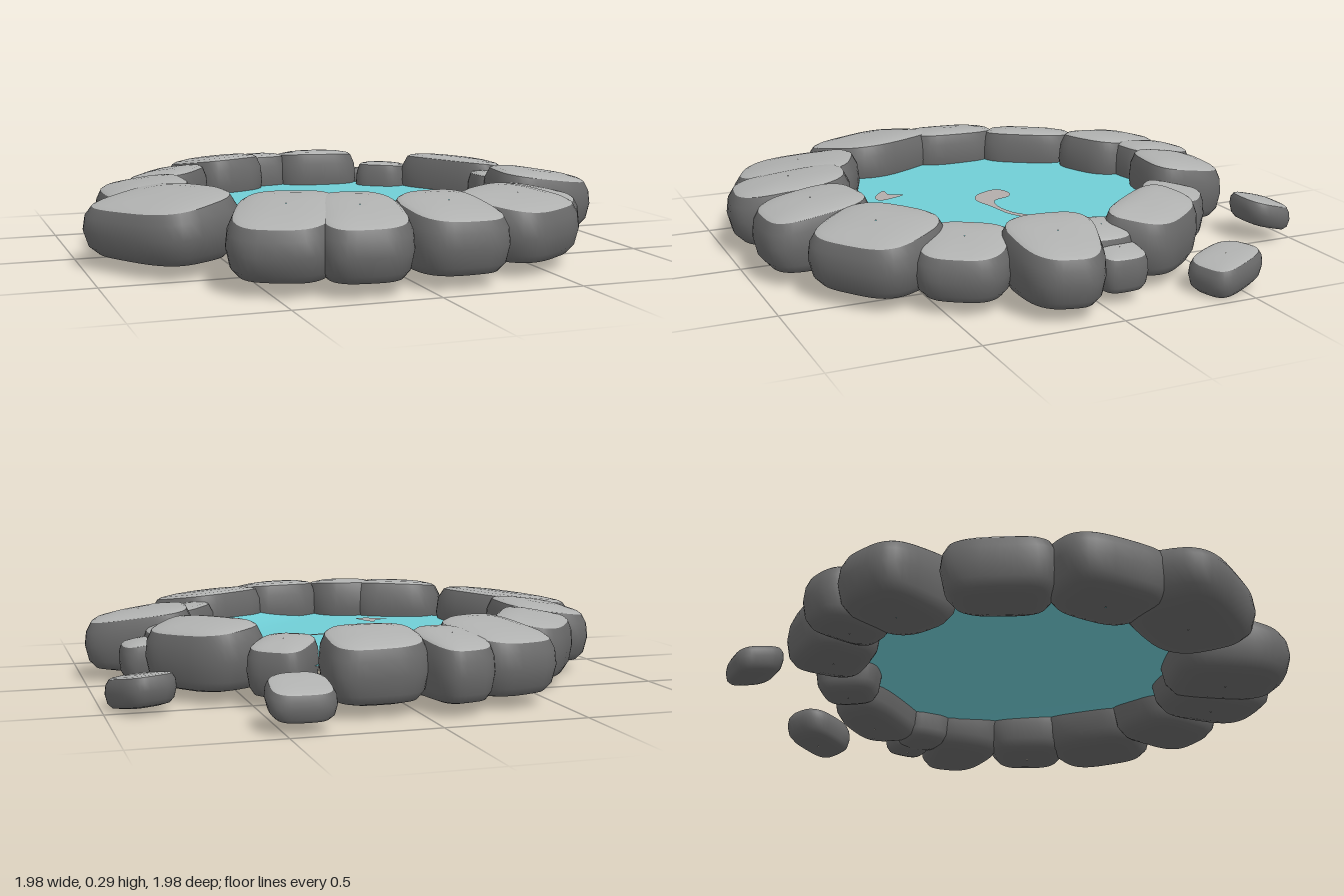
import * as THREE from 'three';

const mat = (name, color, side = THREE.FrontSide) => {
  const m = new THREE.MeshStandardMaterial({ color, side });
  m.name = name;
  return m;
};

// Skin a stack of rings, each an array of [x, y, z]
function loft(rings) {
  const n = rings[0].length, index = [];
  for (let r = 0; r < rings.length - 1; r++) {
    for (let i = 0; i < n; i++) {
      const a = r * n + i, b = r * n + (i + 1) % n;
      index.push(a, b, a + n, b, b + n, a + n);
    }
  }
  const geo = new THREE.BufferGeometry();
  geo.setAttribute('position', new THREE.Float32BufferAttribute(rings.flat(2), 3));
  geo.setIndex(index);
  geo.computeVertexNormals();
  return geo;
}

// Stone profiles: [outline scale, height fraction]
const SIDE = [[0.01, 0], [0.55, 0.01], [0.8, 0.06], [0.93, 0.2], [1, 0.5], [0.97, 0.75], [0.88, 0.91]];
const TOP = [[0.88, 0.91], [0.8, 0.95], [0.55, 0.985], [0.28, 1], [0.01, 1]];

// Rim stones: x, z, facing in degrees, half depth, half width, top, outward taper
const RIM = [
  [-0.31, -0.66, -110, 0.2, 0.165, 0.28, 0],
  [-0.12, -0.75, -100, 0.16, 0.115, 0.27, 0],
  [0.14, -0.7, -88, 0.155, 0.175, 0.28, 0],
  [0.4, -0.53, -53, 0.12, 0.11, 0.24, 0],
  [0.64, -0.31, -37, 0.13, 0.22, 0.28, -0.1],
  [0.7, -0.07, 0, 0.1, 0.1, 0.24, 0],
  [0.81, -0.08, 0, 0.08, 0.09, 0.19, 0],
  [0.79, 0.14, 10, 0.2, 0.16, 0.27, -0.25],
  [0.63, 0.4, 33, 0.16, 0.165, 0.24, 0],
  [0.44, 0.64, 55, 0.19, 0.22, 0.27, -0.1],
  [0.12, 0.77, 85, 0.2, 0.17, 0.28, 0],
  [-0.19, 0.76, 100, 0.23, 0.16, 0.28, 0],
  [-0.41, 0.66, 115, 0.24, 0.19, 0.28, 0],
  [-0.73, 0.25, 150, 0.21, 0.27, 0.27, 0],
  [-0.73, -0.09, 180, 0.17, 0.21, 0.27, 0],
  [-0.57, -0.4, -147, 0.14, 0.2, 0.27, 0],
];

export function createModel() {
  const model = new THREE.Group();
  model.name = 'stonePond';
  const stoneSide = mat('darkStone', 0x6a6a6a);
  const stoneTop = mat('lightStone', 0xb0b1b0);
  const waterBlue = mat('waterBlue', 0x70ced6, THREE.DoubleSide);
  const reflection = mat('paleReflection', 0xb3adab);

  // Rounded block outline lofted into a dark body and a light domed cap
  const addStone = (name, [x, z, deg, depth, width, top, taper], base, slope, leanBase) => {
    const turn = THREE.MathUtils.degToRad(deg), c = Math.cos(turn), s = Math.sin(turn);
    const soft = (v) => Math.sign(v) * Math.abs(v) ** 0.64;
    const pts = Array.from({ length: 36 }, (_, i) => {
      const t = -i / 36 * Math.PI * 2;
      const wobble = 1 + 0.025 * Math.sin(3 * t + deg);
      const u = soft(Math.cos(t)) * wobble, v = soft(Math.sin(t)) * wobble;
      const w = v * width * (1 + taper * u);
      return [u * depth * c - w * s, u * depth * s + w * c];
    });
    const rings = (profile) => profile.map(([k, f]) => pts.map(([dx, dz]) => [
      x + dx * k,
      base + f * (top - base) + (leanBase ? 1 : f) * k * (slope[0] * dx + slope[1] * dz),
      z + dz * k,
    ]));
    const stone = new THREE.Group();
    stone.name = name;
    const body = new THREE.Mesh(loft(rings(SIDE)), stoneSide);
    body.name = 'stoneBody';
    const cap = new THREE.Mesh(loft(rings(TOP)), stoneTop);
    cap.name = 'stoneTop';
    stone.add(body, cap);
    model.add(stone);
  };

  // Rim stones slope gently down, away from the water
  RIM.forEach((row, i) => {
    const r = Math.hypot(row[0], row[1]);
    addStone(`rimStone${i + 1}`, row, 0.045, [-0.15 * row[0] / r, -0.15 * row[1] / r], false);
  });

  // Two loose stones outside the ring, tilted as a whole
  addStone('backLooseStone', [0.44, -0.9, -90, 0.095, 0.11, 0.165, 0], 0.06, [0, 0.25], true);
  addStone('sideLooseStone', [0.87, -0.46, -20, 0.1, 0.125, 0.135, 0], 0.02, [-0.08, -0.15], true);

  // Water sheet, lifted a little at its front left edge
  const level = 0.15;
  const waterGeo = new THREE.RingGeometry(0.001, 0.66, 64, 8).rotateX(-Math.PI / 2);
  const pos = waterGeo.attributes.position;
  for (let i = 0; i < pos.count; i++) {
    const edge = Math.max(0, (pos.getX(i) + pos.getZ(i)) / Math.SQRT2 - 0.45);
    pos.setY(i, level + edge * 0.2);
  }
  waterGeo.computeVertexNormals();
  const water = new THREE.Mesh(waterGeo, waterBlue);
  water.name = 'water';
  model.add(water);

  // Pale reflections lying on the water
  const addMark = (name, points) => {
    const curve = new THREE.CatmullRomCurve3(
      points.map(([x, z]) => new THREE.Vector3(x, 0, z)), true, 'centripetal');
    const shape = new THREE.Shape(
      curve.getPoints(64).slice(0, 64).map((p) => new THREE.Vector2(p.x, -p.z)));
    const mark = new THREE.Mesh(new THREE.ShapeGeometry(shape).rotateX(-Math.PI / 2), reflection);
    mark.position.y = level + 0.004;
    mark.name = name;
    model.add(mark);
  };
  addMark('curledReflection', [[-0.11, -0.05], [-0.05, -0.075], [0, -0.05], [0.03, 0.02], [0.1, 0.04],
    [0.2, 0.02], [0.26, -0.03], [0.3, -0.1], [0.29, -0.02], [0.22, 0.04], [0.1, 0.065],
    [0, 0.085], [-0.07, 0.05]]);
  addMark('smallReflection', [[-0.27, 0.36], [-0.22, 0.36], [-0.19, 0.31], [-0.16, 0.36],
    [-0.15, 0.42], [-0.2, 0.42]]);

  return model;
}
